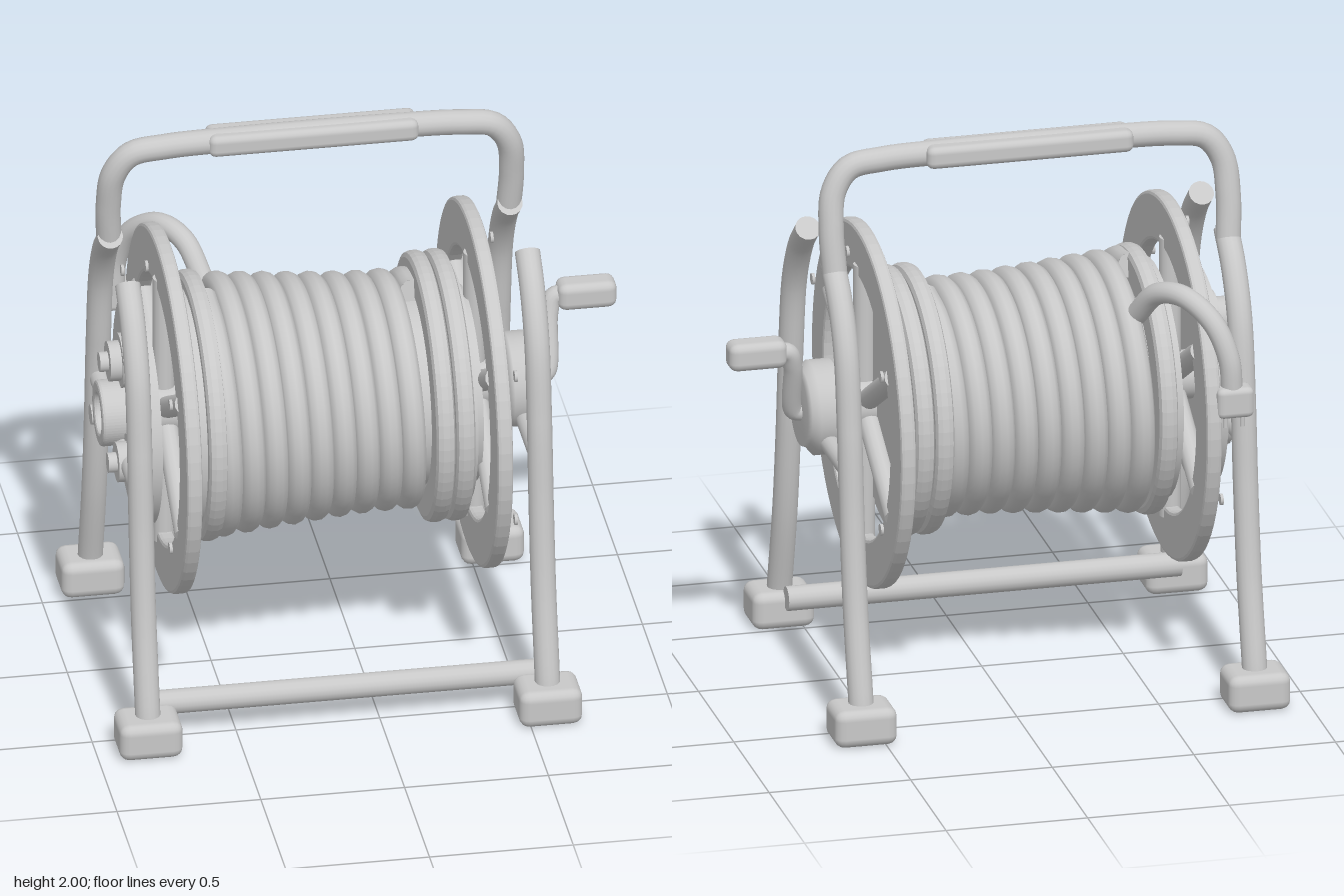
import * as THREE from 'three';
import { mergeGeometries } from 'three/addons/utils/BufferGeometryUtils.js';
import { RoundedBoxGeometry } from 'three/addons/geometries/RoundedBoxGeometry.js';

const AXIS_Y = 1.005;   // height of the reel axle
const FRAME_X = -0.125; // middle of the frame
const HALF = 0.695;     // frame half width

const V = (p) => new THREE.Vector3(...p);

export function createModel() {
  const model = new THREE.Group();
  model.name = 'cableReel';
  const grey = new THREE.MeshStandardMaterial({ color: 0xc8c8c8 });
  grey.name = 'light grey';

  const add = (name, geometry, x = 0, y = 0, z = 0, parent = model) => {
    const mesh = new THREE.Mesh(geometry, grey);
    mesh.name = name;
    mesh.position.set(x, y, z);
    parent.add(mesh);
    return mesh;
  };

  // round tube through points, closed with flat caps
  const tube = (points, r, segs = 40, sides = 16) => {
    const curve = new THREE.CatmullRomCurve3(points.map(V));
    const parts = [new THREE.TubeGeometry(curve, segs, r, sides)];
    for (const t of [0, 1]) {
      const dir = curve.getTangent(t).multiplyScalar(t ? 1 : -1);
      const cap = new THREE.CircleGeometry(r, sides);
      cap.applyQuaternion(new THREE.Quaternion().setFromUnitVectors(V([0, 0, 1]), dir));
      const p = curve.getPoint(t);
      parts.push(cap.translate(p.x, p.y, p.z));
    }
    return mergeGeometries(parts);
  };

  // disc or cylinder along x, from x0 to x1
  const axial = (name, r, x0, x1, y = AXIS_Y, z = 0, sides = 40) =>
    add(name, new THREE.CylinderGeometry(r, r, x1 - x0, sides).rotateZ(Math.PI / 2), (x0 + x1) / 2, y, z);

  // ring along x with a hole
  const ring = (outer, inner, depth, bevel) => {
    const shape = new THREE.Shape().absarc(0, 0, outer - bevel, 0, Math.PI * 2);
    shape.holes.push(new THREE.Path().absarc(0, 0, inner + bevel, 0, Math.PI * 2, true));
    return new THREE.ExtrudeGeometry(shape, {
      depth: depth - 2 * bevel, bevelEnabled: bevel > 0, bevelSize: bevel, bevelThickness: bevel,
      bevelSegments: 2, curveSegments: 32,
    }).translate(0, 0, bevel - depth / 2).rotateY(Math.PI / 2);
  };

  // legs, feet and side bars
  const legProfile = [[0.09, 0.585], [0.14, 0.575], [0.44, 0.5], [0.757, 0.45], [1.07, 0.415],
    [1.34, 0.365], [1.5, 0.275], [1.595, 0.175]];
  for (const side of [-1, 1]) {
    const x = FRAME_X + side * HALF;
    for (const s of [-1, 1]) {
      add(s > 0 ? 'frontLeg' : 'backLeg', tube(legProfile.map(([y, z]) => [x, y, s * z]), 0.044));
      add('foot', new RoundedBoxGeometry(0.22, 0.135, 0.18, 2, 0.035), x, 0.0675, s * 0.585);
    }
    add('sideBar', tube([[x, 0.92, -0.39], [x, 0.92, 0.39]], 0.034, 1));
  }
  add('frontCrossbar', tube([[FRAME_X - HALF, 0.122, 0.48], [FRAME_X + HALF, 0.122, 0.48]], 0.043, 1));

  // carrying handle and grip
  const halfHandle = [[HALF, 1.57, -0.205], [HALF + 0.006, 1.72, -0.18], [HALF - 0.008, 1.85, -0.155],
    [HALF - 0.065, 1.928, -0.143], [HALF - 0.18, 1.948, -0.14], [0.3, 1.955, -0.14]];
  const mirrored = halfHandle.map(([x, y, z]) => [-x, y, z]).reverse();
  add('carryHandle', tube([...halfHandle, ...mirrored], 0.044, 90), FRAME_X);
  add('grip', new RoundedBoxGeometry(0.73, 0.08, 0.125, 2, 0.025), FRAME_X, 1.953, -0.145);

  // reel flanges with spokes and bolts
  for (const side of [-1, 1]) {
    const x = FRAME_X + side * 0.54;
    add('flange', ring(0.64, 0.47, 0.054, 0.012), x, AXIS_Y);
    for (let i = 0; i < 6; i++) {
      const spoke = new THREE.Group();
      spoke.name = 'spoke';
      spoke.position.set(x, AXIS_Y, 0);
      spoke.rotation.x = i * Math.PI / 3;
      add('spokeArm', new THREE.CylinderGeometry(0.038, 0.038, 0.42, 14), 0, 0.3, 0, spoke);
      add('bolt', new THREE.CylinderGeometry(0.02, 0.02, 0.01, 12).rotateZ(Math.PI / 2), side * 0.06, 0.56, 0, spoke);
      model.add(spoke);
    }
  }

  // drum and wound cable
  axial('drum', 0.34, -0.62, 0.39, AXIS_Y, 0, 48);
  axial('axle', 0.085, -0.8, 0.6);
  const coil = [];
  const turns = 9;
  for (let i = 0; i <= turns * 16; i++) {
    const t = i / (turns * 16), a = t * turns * Math.PI * 2;
    const x = -0.525 + 0.725 * t;
    const r = 0.373 + 0.045 * (1 - Math.min(1, t * 1.3)) ** 1.2;
    coil.push([x, AXIS_Y + r * Math.cos(a), r * Math.sin(a)]);
  }
  add('woundCable', tube(coil, 0.044, 480, 12));
  for (const x of [-0.55, 0.24, 0.31]) add('coilEndRing', ring(0.468, 0.33, 0.066, 0.022), x, AXIS_Y);
  axial('coilShoulder', 0.405, 0.33, 0.36);
  axial('coilShoulder', 0.42, -0.61, -0.575);

  // loose cable end and plug
  add('cableEnd', tube([[-0.48, 1.34, -0.26], [-0.53, 1.45, -0.36], [-0.6, 1.47, -0.46], [-0.68, 1.4, -0.55],
    [-0.725, 1.28, -0.595], [-0.735, 1.15, -0.6]], 0.038));
  add('plug', new RoundedBoxGeometry(0.13, 0.11, 0.08, 2, 0.022), -0.74, 1.13, -0.605);
  for (const dx of [-0.03, 0.03]) {
    add('plugPin', new THREE.CylinderGeometry(0.009, 0.009, 0.05, 10), -0.74 + dx, 1.06, -0.605);
  }

  // socket plate
  axial('socketPlate', 0.393, -0.775, -0.735, AXIS_Y, 0, 56);
  add('plateHub', ring(0.115, 0.07, 0.12, 0.01), -0.835, AXIS_Y);
  for (let i = 0; i < 3; i++) {
    const a = i * Math.PI * 2 / 3;
    const y = AXIS_Y + 0.2 * Math.cos(a), z = 0.2 * Math.sin(a);
    axial('socketBase', 0.095, -0.82, -0.77, y, z, 28);
    axial('socketCollar', 0.07, -0.86, -0.82, y, z, 28);
    axial('socketCap', 0.035, -0.89, -0.86, y, z, 20);
  }

  // crank side hub, arm and knob
  add('crankHub', new THREE.LatheGeometry([[0, 0], [0.14, 0], [0.165, 0.025], [0.165, 0.1], [0.135, 0.125],
    [0.13, 0.14], [0, 0.14]].map((p) => new THREE.Vector2(...p)), 40).toNonIndexed().rotateZ(-Math.PI / 2), 0.505, AXIS_Y);
  add('crankArm', tube([[0.64, 1.0, -0.015], [0.67, 1.01, -0.02], [0.69, 1.2, -0.09], [0.71, 1.255, -0.105],
    [0.77, 1.26, -0.105]], 0.033));
  add('crankKnob', new RoundedBoxGeometry(0.205, 0.1, 0.1, 2, 0.03), 0.822, 1.262, -0.105);

  return model;
}
